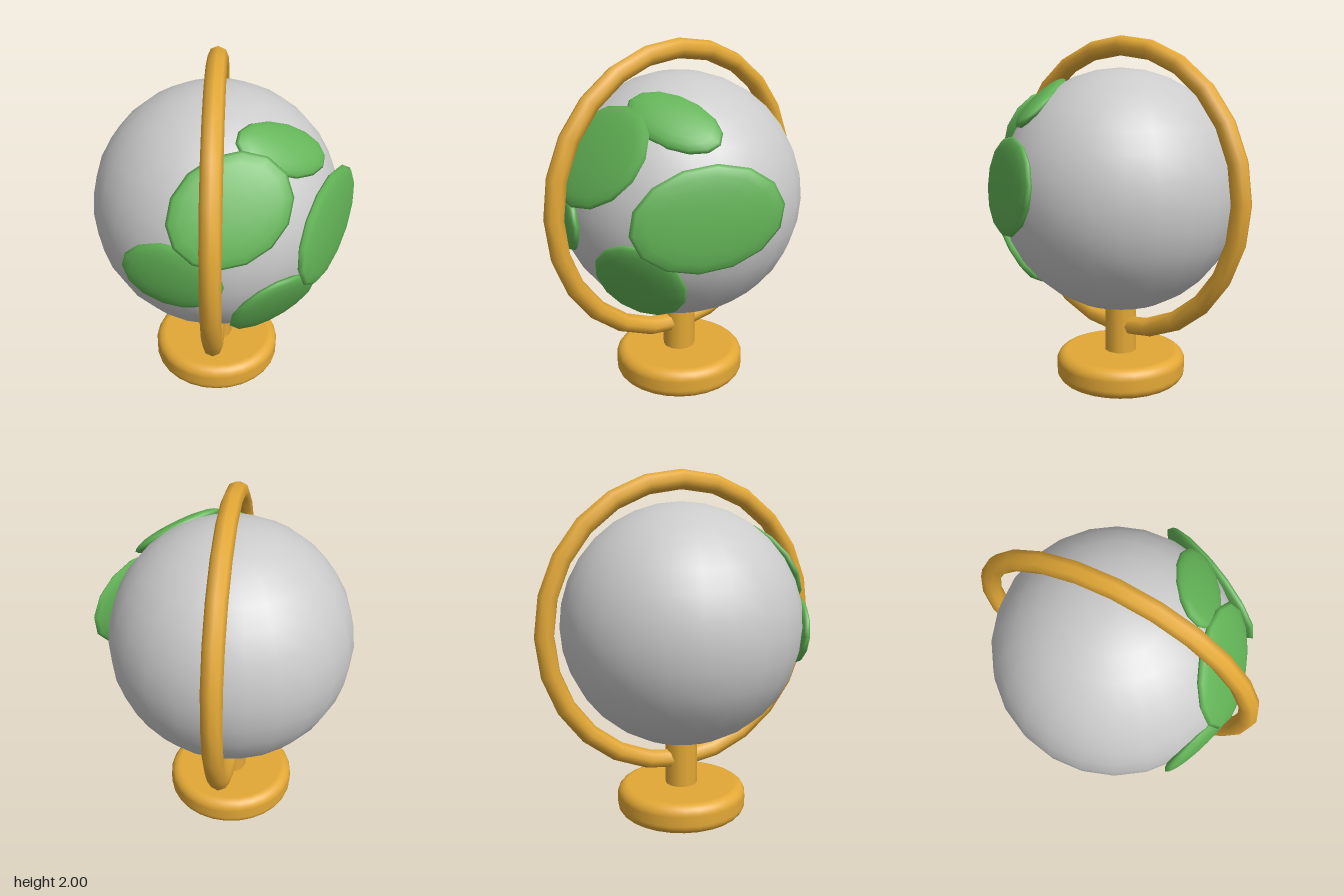
import * as THREE from 'three';

const CENTER = new THREE.Vector3(-0.02, 1.135, 0);

export function createModel() {
  const model = new THREE.Group();
  model.name = 'deskGlobe';
  const grey = new THREE.MeshStandardMaterial({ color: 0xcccccc });
  const gold = new THREE.MeshStandardMaterial({ color: 0xe3a836 });
  const green = new THREE.MeshStandardMaterial({ color: 0x62b356 });

  const add = (name, geometry, material, x, y, z) => {
    const mesh = new THREE.Mesh(geometry, material);
    mesh.name = name;
    mesh.position.set(x, y, z);
    model.add(mesh);
    return mesh;
  };

  // Globe ball
  add('ball', new THREE.SphereGeometry(0.69, 24, 16), grey, ...CENTER.toArray());

  // Upright ring around the ball, turned about the vertical axis
  const ring = add('ring', new THREE.TorusGeometry(0.81, 0.055, 8, 24), gold, ...CENTER.toArray());
  ring.rotation.y = THREE.MathUtils.degToRad(62.5);

  // Stem between base and ball
  add('stem', new THREE.CylinderGeometry(0.094, 0.094, 0.36, 12), gold, CENTER.x, 0.32, 0);

  // Round base: flat disc with a rounded rim
  const rim = new THREE.Shape();
  const R = 0.38, H = 0.175, r = 0.06;
  rim.moveTo(0, 0);
  rim.lineTo(R - r, 0);
  rim.absarc(R - r, r, r, -Math.PI / 2, 0);
  rim.lineTo(R, H - r);
  rim.absarc(R - r, H - r, r, 0, Math.PI / 2);
  rim.lineTo(0, H);
  add('base', new THREE.LatheGeometry(rim.getPoints(4), 28), gold, CENTER.x, 0, 0);

  // Land patches: flattened ellipsoids lying on the ball
  // [offset from the ball centre, half length, half width, roll in degrees]
  const patches = [
    [[0.40, 0.055, 0.53], 0.40, 0.273, 8],
    [[-0.19, 0.315, 0.555], 0.33, 0.27, 30],
    [[-0.47, -0.045, 0.47], 0.278, 0.203, 0],
    [[0.05, -0.315, 0.585], 0.253, 0.277, 0],
    [[0.163, 0.497, 0.415], 0.27, 0.155, -30],
  ];
  const disc = new THREE.SphereGeometry(1, 14, 10).rotateX(Math.PI / 2);
  patches.forEach(([offset, halfLength, halfWidth, roll], i) => {
    const out = new THREE.Vector3(...offset);
    const patch = add(`landPatch${i + 1}`, disc, green, ...CENTER.clone().add(out).toArray());
    patch.scale.set(halfLength, halfWidth, 0.05);
    patch.lookAt(patch.position.clone().add(out));
    patch.rotateZ(THREE.MathUtils.degToRad(roll));
  });

  return model;
}
